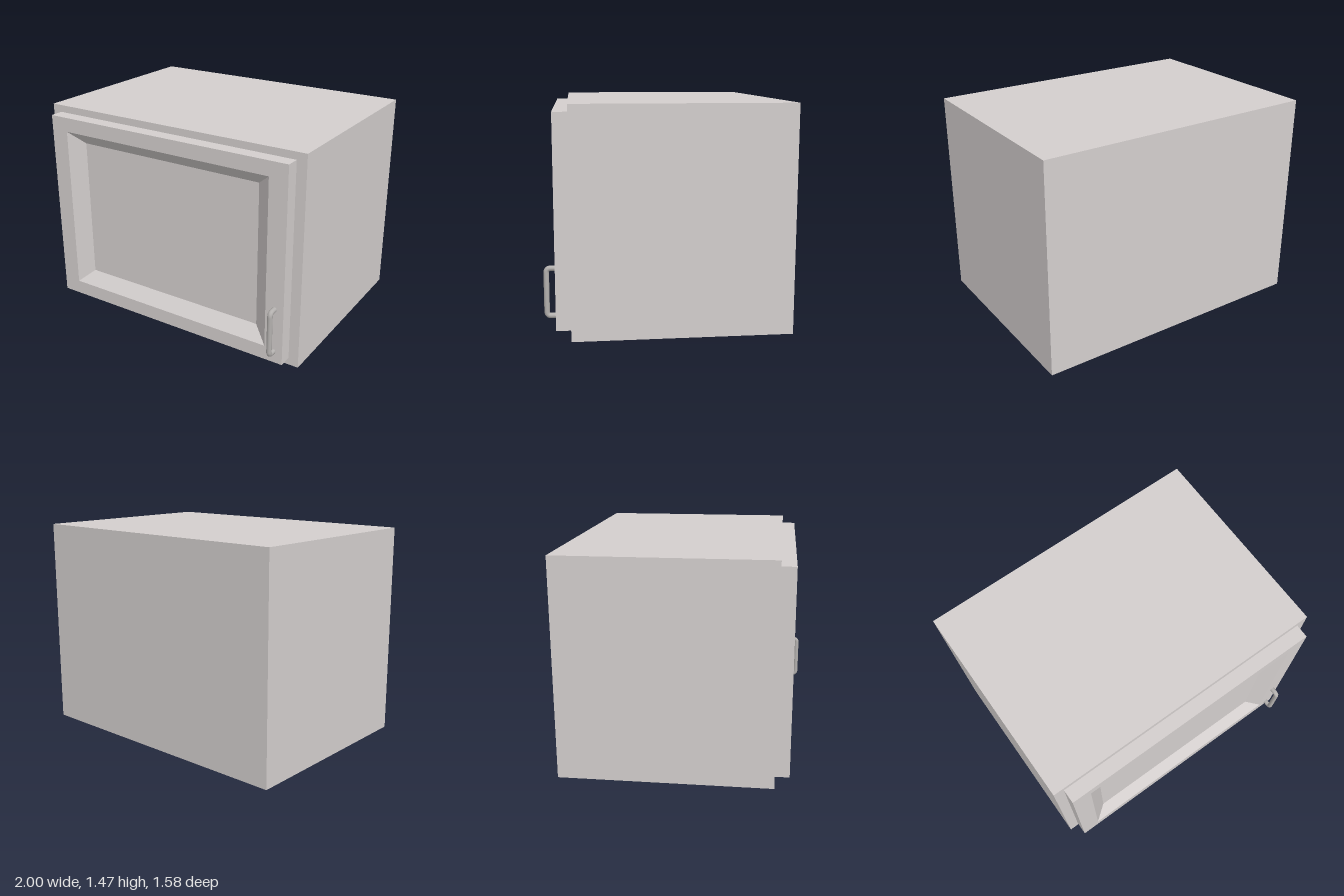
import * as THREE from 'three';

const paint = new THREE.MeshStandardMaterial({ color: 0xd4cfce });
paint.name = 'cabinet paint';
const metal = new THREE.MeshStandardMaterial({ color: 0xb4b1af });
metal.name = 'handle metal';

const W = 2, H = 1.47, BACK = -0.79, FRONT = 0.62, DOOR = 0.715;

// Corners of a rectangle at depth z, anticlockwise seen from the front
const ring = (x, y0, y1, z) => [[-x, y0, z], [x, y0, z], [x, y1, z], [-x, y1, z]];

// Door: skin nested rectangles from the back edge to the sunken panel
function doorGeometry() {
  const rings = [
    ring(0.93, 0.05, 1.42, FRONT),
    ring(0.93, 0.05, 1.42, DOOR),
    ring(0.8, 0.15, 1.32, DOOR),
    ring(0.695, 0.24, 1.235, DOOR - 0.073),
  ];
  const pos = [];
  const quad = (a, b, c, d) => pos.push(...a, ...b, ...c, ...a, ...c, ...d);
  for (let r = 0; r < rings.length - 1; r++) {
    for (let i = 0; i < 4; i++) {
      const j = (i + 1) % 4;
      quad(rings[r][i], rings[r][j], rings[r + 1][j], rings[r + 1][i]);
    }
  }
  quad(...rings[3]);
  quad(...[...rings[0]].reverse());
  const g = new THREE.BufferGeometry();
  g.setAttribute('position', new THREE.Float32BufferAttribute(pos, 3));
  g.computeVertexNormals();
  return g;
}

// Handle: a bar with rounded corners and two legs reaching the door
function handleGeometry() {
  const x = 0.865, y0 = 0.132, y1 = 0.441, z = 0.77, r = 0.028;
  const v = (y, zz) => new THREE.Vector3(x, y, zz);
  const path = new THREE.CurvePath();
  path.add(new THREE.LineCurve3(v(y0, DOOR - 0.005), v(y0, z - r)));
  path.add(new THREE.QuadraticBezierCurve3(v(y0, z - r), v(y0, z), v(y0 + r, z)));
  path.add(new THREE.LineCurve3(v(y0 + r, z), v(y1 - r, z)));
  path.add(new THREE.QuadraticBezierCurve3(v(y1 - r, z), v(y1, z), v(y1, z - r)));
  path.add(new THREE.LineCurve3(v(y1, z - r), v(y1, DOOR - 0.005)));
  return new THREE.TubeGeometry(path, 72, 0.0175, 12, false);
}

export function createModel() {
  const group = new THREE.Group();
  group.name = 'wallCabinet';
  const add = (name, geometry, material) => {
    const mesh = new THREE.Mesh(geometry, material);
    mesh.name = name;
    group.add(mesh);
    return mesh;
  };

  const body = add('cabinetBody', new THREE.BoxGeometry(W, H, FRONT - BACK), paint);
  body.position.set(0, H / 2, (FRONT + BACK) / 2);
  add('door', doorGeometry(), paint);
  add('doorHandle', handleGeometry(), metal);
  return group;
}
